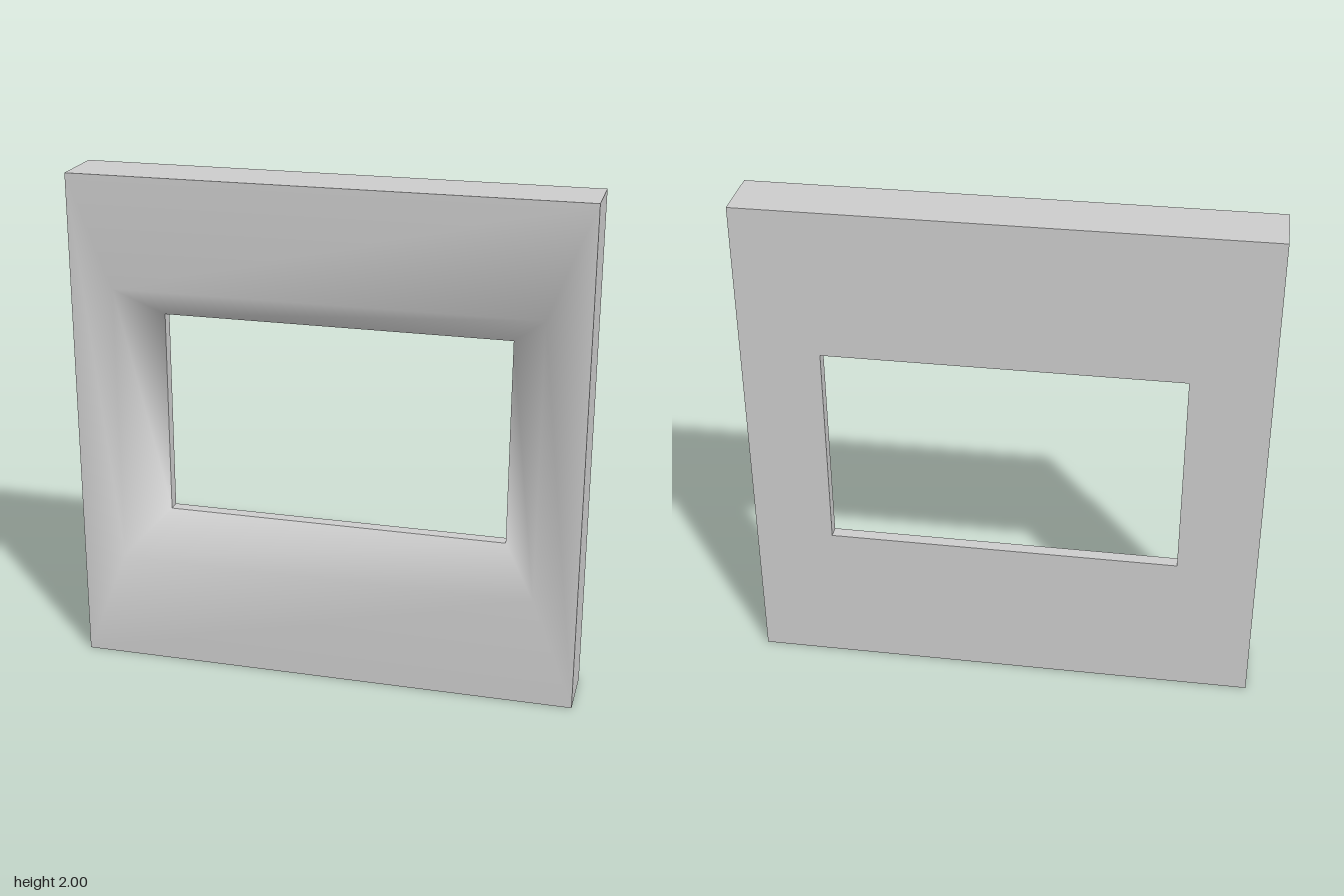
import * as THREE from 'three';

// Rectangle corners, counter-clockwise seen from the front
const ring = (halfW, halfH, z) => [[-1, -1], [1, -1], [1, 1], [-1, 1]]
  .map(([sx, sy]) => [sx * halfW, 1 + sy * halfH, z]);

// Skin joining successive rings; smooth shares normals across the rings
function loft(rings, smooth) {
  const index = [];
  for (let r = 0; r < rings.length - 1; r++) {
    for (let i = 0; i < 4; i++) {
      const j = (i + 1) % 4, a = r * 4, b = a + 4;
      index.push(a + i, a + j, b + j, a + i, b + j, b + i);
    }
  }
  let geo = new THREE.BufferGeometry();
  geo.setAttribute('position', new THREE.Float32BufferAttribute(rings.flat(2), 3));
  geo.setIndex(index);
  if (!smooth) geo = geo.toNonIndexed();
  geo.computeVertexNormals();
  return geo;
}

export function createModel() {
  const group = new THREE.Group();
  group.name = 'wallPanelWithWindow';
  const material = new THREE.MeshStandardMaterial({ color: 0xcccccc });

  const outerFront = ring(1, 1, 0.12);
  const bevelEdge = ring(0.83, 0.56, 0.12);
  const holeFront = ring(0.69, 0.415, -0.07);
  const holeBack = ring(0.69, 0.415, -0.12);
  const outerBack = ring(1, 1, -0.12);

  const parts = {
    // Face and splayed reveal, softly shaded together
    splayedFront: loft([outerFront, bevelEdge, holeFront], true),
    // Opening walls, back face and outer sides
    openingLip: loft([holeFront, holeBack]),
    backAndSides: loft([holeBack, outerBack, outerFront]),
  };
  for (const [name, geometry] of Object.entries(parts)) {
    const mesh = new THREE.Mesh(geometry, material);
    mesh.name = name;
    group.add(mesh);
  }
  return group;
}
